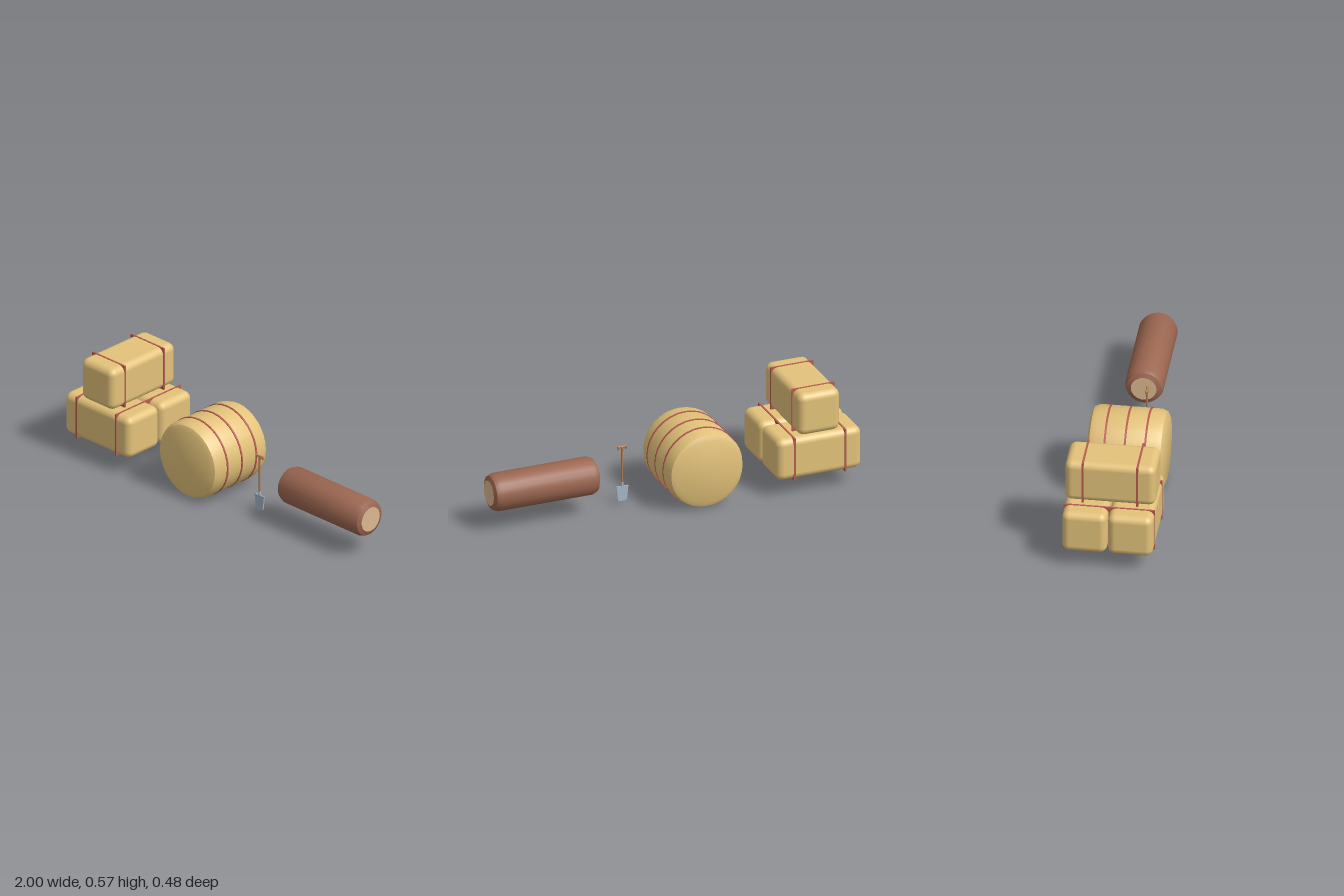
import * as THREE from 'three';
import { RoundedBoxGeometry } from 'three/addons/geometries/RoundedBoxGeometry.js';
import { toCreasedNormals } from 'three/addons/utils/BufferGeometryUtils.js';

const mat = (color) => new THREE.MeshStandardMaterial({ color });
const straw = mat(0xe3c27a), twine = mat(0xb85a50), bark = mat(0x9b6650);
const cutWood = mat(0xdcb890), handleWood = mat(0xb57c50), steel = mat(0xa3b6c8);

function add(parent, name, geometry, material, x = 0, y = 0, z = 0) {
  const mesh = new THREE.Mesh(geometry, material);
  mesh.name = name;
  mesh.position.set(x, y, z);
  parent.add(mesh);
  return mesh;
}

function group(parent, name, x, y, z) {
  const g = new THREE.Group();
  g.name = name;
  g.position.set(x, y, z);
  parent.add(g);
  return g;
}

// Solid of revolution about y from [radius, height] pairs, bottom to top
const lathe = (points, sides) =>
  toCreasedNormals(new THREE.LatheGeometry(points.map((p) => new THREE.Vector2(...p)), sides), 0.75);

// Drum with rounded rims; half = half its length
const drumProfile = (r, capR, half, bevel) => {
  const rim = [[capR, half], [capR + (r - capR) * 0.7, half - bevel * 0.3], [r, half - bevel]];
  return [...rim.map(([a, h]) => [a, -h]), ...rim.reverse()];
};

// Square bale lying along x, with two square-cornered straps
function squareBale(parent, name, x, y, z) {
  const bale = group(parent, name, x, y, z);
  add(bale, 'hay', new RoundedBoxGeometry(0.475, 0.235, 0.235, 3, 0.038), straw);
  for (const s of [-1, 1]) {
    add(bale, 'strap', new THREE.BoxGeometry(0.01, 0.239, 0.239), twine, s * 0.143);
  }
  return bale;
}

export function createModel() {
  const model = new THREE.Group();
  model.name = 'farmYardSet';

  // Stack of three square bales
  const stack = group(model, 'baleStack', -0.765, 0, 0);
  squareBale(stack, 'lowerBaleFront', 0, 0.216, 0.12);
  squareBale(stack, 'lowerBaleBack', 0, 0.216, -0.12);
  squareBale(stack, 'upperBale', 0, 0.454, 0).rotation.y = Math.PI / 2;

  // Round bale, axis along z
  const round = group(model, 'roundBale', -0.15, 0.215, 0);
  round.rotation.x = Math.PI / 2;
  const body = drumProfile(0.211, 0.175, 0.2, 0.04);
  add(round, 'hay', lathe([[0, -0.2], ...body, [0, 0.2]], 32), straw);
  for (const y of [-0.106, 0, 0.106]) {
    add(round, 'strap', new THREE.CylinderGeometry(0.2145, 0.2145, 0.01, 32), twine, 0, y);
  }

  // Log, axis along x, with pale cut ends
  const log = group(model, 'log', 0.698, 0.215, 0);
  log.rotation.z = Math.PI / 2;
  add(log, 'bark', lathe(drumProfile(0.101, 0.067, 0.298, 0.035), 24), bark);
  for (const s of [-1, 1]) {
    const end = add(log, 'cutEnd', new THREE.CircleGeometry(0.067, 24), cutWood, 0, s * 0.298);
    end.rotation.x = -s * Math.PI / 2;
  }

  // Shovel
  const shovel = group(model, 'shovel', 0.23, 0, 0.041);
  const outline = new THREE.Shape([
    [-0.034, 0.1], [-0.025, 0.022], [-0.012, 0.017], [0.012, 0.017],
    [0.025, 0.022], [0.034, 0.1],
  ].map((p) => new THREE.Vector2(...p)));
  add(shovel, 'blade', new THREE.ExtrudeGeometry(outline, { depth: 0.007, bevelEnabled: false }),
    steel, 0, 0, -0.0035);
  add(shovel, 'socket', new THREE.CylinderGeometry(0.007, 0.007, 0.022, 12), steel, 0, 0.11);
  add(shovel, 'shaft', new THREE.CylinderGeometry(0.0055, 0.0055, 0.2, 12), handleWood, 0, 0.218);
  add(shovel, 'collar', new THREE.CylinderGeometry(0.008, 0.006, 0.015, 12), handleWood, 0, 0.311);
  add(shovel, 'grip', new THREE.CylinderGeometry(0.0055, 0.0055, 0.046, 12), handleWood, 0, 0.325)
    .rotation.z = Math.PI / 2;
  for (const s of [-1, 1]) {
    add(shovel, 'gripEnd', new THREE.SphereGeometry(0.0075, 12, 8), handleWood, s * 0.021, 0.325);
    add(shovel, 'gripTip', new THREE.CylinderGeometry(0.005, 0.004, 0.014, 10), handleWood, s * 0.021, 0.315);
  }

  return model;
}
